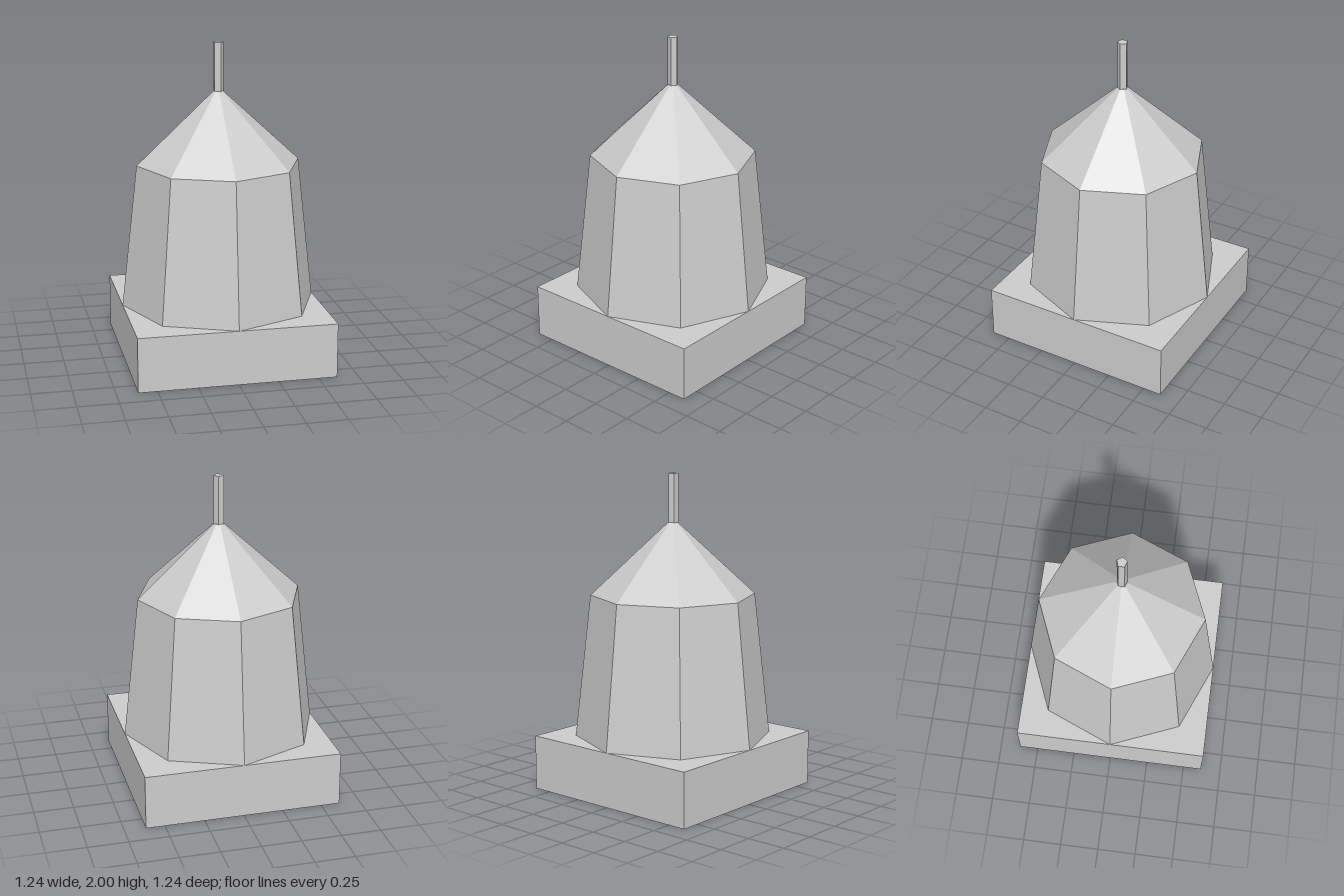
import * as THREE from 'three';

export function createModel() {
  const model = new THREE.Group();
  model.name = 'tower';
  const stone = new THREE.MeshStandardMaterial({ color: 0xcccccc, flatShading: true });
  stone.name = 'light grey';

  const add = (name, geometry, bottom, height) => {
    const mesh = new THREE.Mesh(geometry, stone);
    mesh.name = name;
    mesh.position.y = bottom + height / 2;
    model.add(mesh);
  };
  // Faceted frustum with a corner pointing along +x
  const frustum = (name, rTop, rBottom, bottom, top, sides) => add(
    name,
    new THREE.CylinderGeometry(rTop, rBottom, top - bottom, sides, 1, false, Math.PI / 2),
    bottom, top - bottom
  );

  // Square plinth
  add('base', new THREE.BoxGeometry(1.236, 0.345, 1.236), 0, 0.345);
  // Tapering octagonal walls and pointed roof
  frustum('walls', 0.516, 0.618, 0.345, 1.245, 8);
  frustum('roof', 0.03, 0.516, 1.245, 1.697, 8);
  // Five-sided pole
  frustum('pole', 0.033, 0.033, 1.695, 2, 5);

  return model;
}
